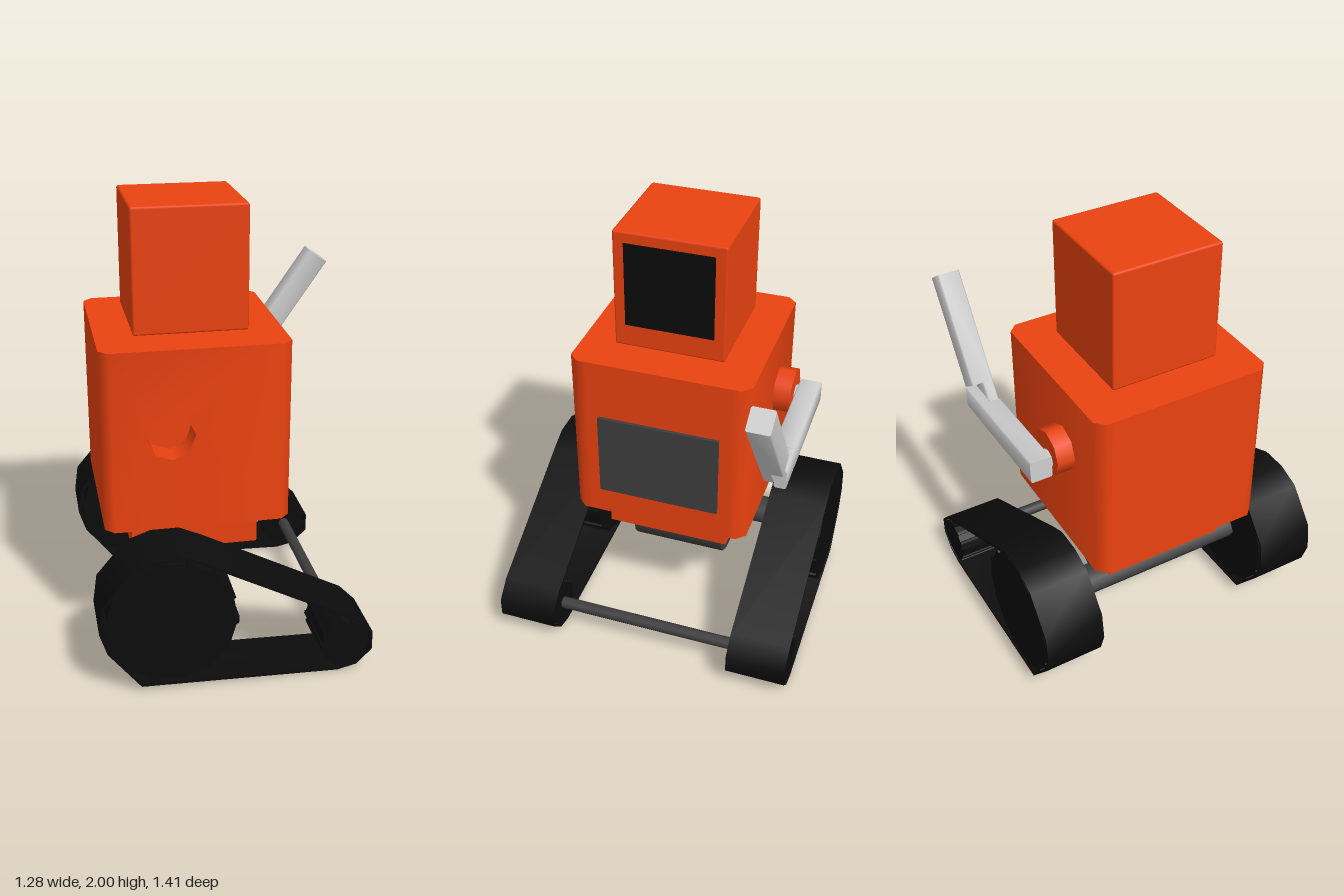
import * as THREE from 'three';
import { toCreasedNormals } from 'three/addons/utils/BufferGeometryUtils.js';
import { RoundedBoxGeometry } from 'three/addons/geometries/RoundedBoxGeometry.js';

const material = (color) => new THREE.MeshStandardMaterial({ color });
const orange = material(0xea4210), black = material(0x0c0c0c), dark = material(0x3e3e3e), grey = material(0xcccccc);
const CX = -0.162; // centre line of head, body and waist

function add(parent, name, geometry, mat, x = 0, y = 0, z = 0) {
  const mesh = new THREE.Mesh(geometry, mat);
  mesh.name = name;
  mesh.position.set(x, y, z);
  parent.add(mesh);
  return mesh;
}

// Cylinder lying along z
const rod = (r, length, sides) => new THREE.CylinderGeometry(r, r, length, sides).rotateX(Math.PI / 2);

const polygon = (points) => points.map(([x, y]) => new THREE.Vector2(x, y));

function rectangle(w, h) {
  return new THREE.Shape(polygon([[-w / 2, -h / 2], [w / 2, -h / 2], [w / 2, h / 2], [-w / 2, h / 2]]));
}

// Bar along +x from 0 with slightly chamfered long edges
function bar(length, height, width, c = 0.006) {
  const a = width / 2, b = height / 2;
  const shape = new THREE.Shape(polygon([
    [-a + c, -b], [a - c, -b], [a, -b + c], [a, b - c], [a - c, b], [-a + c, b], [-a, b - c], [-a, -b + c],
  ]));
  const g = new THREE.ExtrudeGeometry(shape, { depth: length, bevelEnabled: false }).rotateY(Math.PI / 2);
  return toCreasedNormals(g, 0.9);
}

// Slab of the torso; vertices on the outer end are pulled in to chamfer the vertical edges
function torsoSlab(shape, z0, z1, steps) {
  const g = new THREE.ExtrudeGeometry(shape, { depth: z1 - z0, steps, bevelEnabled: false });
  g.translate(0, 0, z0);
  const p = g.attributes.position;
  for (let i = 0; i < p.count; i++) {
    if (Math.abs(p.getZ(i)) > 0.405 && Math.abs(p.getX(i)) > 0.4) p.setX(i, Math.sign(p.getX(i)) * 0.37);
  }
  return toCreasedNormals(g, 0.9);
}

// Wheel with shallow ribs round the rim
function ribbedWheel(r, ribs, ribHeight, width) {
  const points = [];
  for (let i = 0; i < ribs; i++) {
    for (const [f, extra] of [[0, 0], [0.7, 0], [0.72, ribHeight], [0.98, ribHeight]]) {
      const a = ((i + f) / ribs) * Math.PI * 2;
      points.push([(r + extra) * Math.cos(a), (r + extra) * Math.sin(a)]);
    }
  }
  return new THREE.ExtrudeGeometry(new THREE.Shape(polygon(points)), { depth: width, bevelEnabled: false })
    .translate(0, 0, -width / 2);
}

// Thin closed belt: an outline, and the same outline moved inward and wound the other way
function beltGeometry(width, thickness) {
  const outer = polygon([
    [-0.64, 0.306], [-0.622, 0.435], [-0.49, 0.592], [-0.38, 0.631], [-0.256, 0.631], [-0.16, 0.588],
    [0.485, 0.254], [0.559, 0.178], [0.559, 0.09], [0.49, 0.02], [0.404, 0], [-0.467, 0.026], [-0.608, 0.206],
  ]);
  const n = outer.length;
  const inner = outer.map((p, i) => {
    const d = outer[(i + 1) % n].clone().sub(outer[(i + n - 1) % n]).normalize();
    return new THREE.Vector2(p.x + d.y * thickness, p.y - d.x * thickness);
  });
  const shape = new THREE.Shape(outer);
  shape.holes.push(new THREE.Path(inner.reverse()));
  const g = new THREE.ExtrudeGeometry(shape, { depth: width, bevelEnabled: false }).translate(0, 0, -width / 2);
  return toCreasedNormals(g, 0.9);
}

export function createModel() {
  const model = new THREE.Group();
  model.name = 'trackedRobot';

  // Head, screen and neck
  add(model, 'head', new RoundedBoxGeometry(0.5, 0.545, 0.5, 1, 0.01), orange, CX, 1.7275, 0);
  add(model, 'faceScreen', new THREE.BoxGeometry(0.01, 0.39, 0.4), black, 0.0845, 1.755, 0);
  add(model, 'neck', new THREE.CylinderGeometry(0.207, 0.207, 0.08, 16), orange, CX, 1.45, 0);

  // Torso with an open arm socket on the +z side
  const torso = new THREE.Group();
  torso.name = 'torso';
  torso.position.set(CX, 1.03, 0);
  model.add(torso);
  add(torso, 'torsoCore', torsoSlab(rectangle(0.82, 0.82), -0.41, 0.287, 17), orange);
  const pierced = rectangle(0.82, 0.82);
  const socket = [];
  for (let i = 0; i < 8; i++) {
    const a = (i / 8) * Math.PI * 2 + 0.05;
    socket.push([-0.115 + 0.105 * Math.cos(a), 0.02 + 0.105 * Math.sin(a)]);
  }
  pierced.holes.push(new THREE.Path(polygon(socket)));
  add(torso, 'socketSide', torsoSlab(pierced, 0.287, 0.41, 3), orange);

  add(model, 'chestPanel', new THREE.BoxGeometry(0.03, 0.405, 0.56), dark, 0.248, 0.961, 0);
  add(model, 'waist', new THREE.BoxGeometry(0.57, 0.18, 0.58), orange, CX, 0.545, 0);

  // Arm with half-lapped elbow
  add(model, 'shoulder', rod(0.105, 0.14, 8), orange, -0.267, 1.135, -0.42);
  add(model, 'shoulderPin', rod(0.045, 0.04, 8), grey, -0.28, 1.11, -0.49);
  const upperArm = new THREE.Group();
  upperArm.name = 'upperArm';
  upperArm.position.set(-0.335, 1.11, -0.55);
  upperArm.rotation.z = -0.045;
  model.add(upperArm);
  add(upperArm, 'upperArmBar', bar(0.5, 0.102, 0.1), grey);
  add(upperArm, 'elbowTongue', bar(0.655, 0.1, 0.054), grey, 0, 0, -0.0225);

  const forearm = new THREE.Group();
  forearm.name = 'forearm';
  forearm.position.set(0.235, 1.05, -0.54);
  forearm.rotation.z = Math.atan2(0.52, 0.36);
  model.add(forearm);
  add(forearm, 'forearmBar', bar(0.513, 0.106, 0.102), grey, 0.12, 0, 0);
  add(forearm, 'forearmTongue', bar(0.3, 0.104, 0.05), grey, 0, 0, 0.0255);

  // Drive drum and axles
  const drum = add(model, 'driveDrum', rod(0.15, 0.45, 16), dark, -0.19, 0.337, 0);
  drum.scale.x = 1.17;
  add(model, 'drumMount', new THREE.BoxGeometry(0.22, 0.12, 0.448), dark, -0.19, 0.42, 0);
  const axle = add(model, 'mainAxle', rod(0.078, 0.92, 8), dark, -0.32, 0.335, 0);
  axle.scale.y = 0.75;
  add(model, 'frontAxle', rod(0.028, 0.92, 8), dark, 0.437, 0.14, 0);

  // Mirrored tracks
  for (const [side, name] of [[1, 'leftTrack'], [-1, 'rightTrack']]) {
    const track = new THREE.Group();
    track.name = name;
    track.position.z = side * 0.567;
    model.add(track);
    add(track, 'driveWheel', ribbedWheel(0.28, 14, 0.01, 0.272), black, -0.33, 0.329, 0);
    add(track, 'idlerWheel', ribbedWheel(0.106, 14, 0.007, 0.272), black, 0.435, 0.131, 0);
    add(track, 'belt', beltGeometry(0.278, 0.012), black);
  }
  return model;
}
